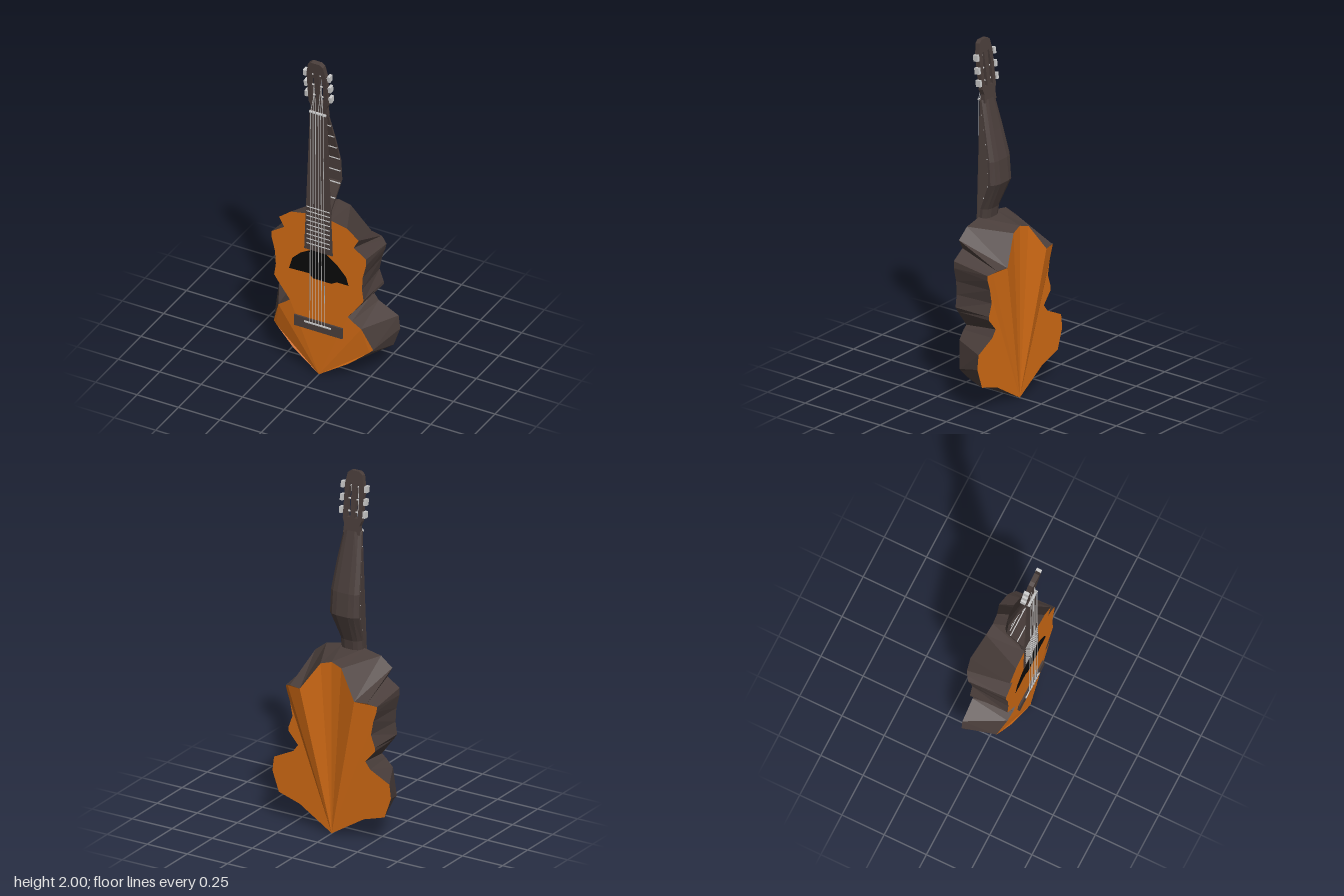
import * as THREE from 'three';

const mat = (color) => new THREE.MeshStandardMaterial({ color, flatShading: true, side: THREE.DoubleSide });

// Right half outlines from top centre to bottom centre: [x, y, z]
const FZ = 0.115, BZ = -0.107;
const front = [[0, 1, FZ], [0.07, 1, FZ], [0.17, 0.98, FZ], [0.24, 0.925, FZ], [0.21, 0.87, FZ], [0.285, 0.82, FZ],
  [0.285, 0.78, FZ], [0.265, 0.7, FZ], [0.26, 0.62, FZ], [0.27, 0.55, FZ], [0.25, 0.52, FZ], [0.175, 0.42, FZ],
  [0.2, 0.4, FZ], [0.25, 0.36, 0.105], [0.3, 0.22, 0.065], [0.28, 0.2, 0.07], [0.17, 0.11, 0.095], [0, 0, FZ]];
const back = [[0, 0.985, BZ], [0.065, 0.965, -0.115], [0.17, 0.81, -0.155], [0.24, 0.81, -0.14], [0.262, 0.8, -0.127],
  [0.285, 0.79, -0.11], [0.28, 0.76, BZ], [0.26, 0.7, BZ], [0.245, 0.62, BZ], [0.27, 0.55, BZ], [0.27, 0.53, BZ],
  [0.21, 0.46, BZ], [0.24, 0.42, BZ], [0.36, 0.36, BZ], [0.37, 0.28, BZ], [0.33, 0.165, BZ], [0.2, 0.125, BZ], [0, 0, BZ]];

// Builds triangles and their mirror image across x = 0
function mirrored(tris) {
  const pos = [];
  for (const [a, b, c] of tris) {
    pos.push(...a, ...b, ...c);
    for (const p of [a, c, b]) pos.push(-p[0], p[1], p[2]);
  }
  const g = new THREE.BufferGeometry();
  g.setAttribute('position', new THREE.Float32BufferAttribute(pos, 3));
  g.computeVertexNormals();
  return g;
}

function panel(outline, facing) {
  const flat = outline.map(([x, y]) => new THREE.Vector2(x, y));
  const tris = THREE.ShapeUtils.triangulateShape(flat, []).map((t) => {
    const [a, b, c] = t.map((i) => outline[i]);
    const cross = (b[0] - a[0]) * (c[1] - a[1]) - (b[1] - a[1]) * (c[0] - a[0]);
    return cross * facing > 0 ? [a, b, c] : [a, c, b];
  });
  return mirrored(tris);
}

function sides() {
  const tris = [];
  for (let i = 0; i < front.length - 1; i++) {
    tris.push([front[i], front[i + 1], back[i]], [front[i + 1], back[i + 1], back[i]]);
  }
  return mirrored(tris);
}

const shapeOf = (pts) => new THREE.Shape(pts.map(([x, y]) => new THREE.Vector2(x, y)));
const slab = (shape, depth) => new THREE.ExtrudeGeometry(shape, { depth, bevelEnabled: false });

// Bowed neck sections: [y, half width, front z, back z]
const neckSections = [[0.97, 0.065, 0.115, 0.07], [1.05, 0.066, 0.105, 0.06], [1.21, 0.09, 0.035, -0.007],
  [1.34, 0.088, 0.04, 0.005], [1.5, 0.074, 0.075, 0.044], [1.67, 0.055, 0.118, 0.085]];

function neckGeometry() {
  const rings = neckSections.map(([y, w, f, b]) => {
    const m = f - (f - b) * 0.35;
    return [[0, f], [1, f], [1, m], [0.75, b + (f - b) * 0.2], [0.4, b], [0, b]].map(([x, z]) => [x * w, y, z]);
  });
  const tris = [];
  for (let r = 0; r < rings.length - 1; r++) {
    for (let i = 0; i < 5; i++) {
      const [a, b, c, d] = [rings[r][i], rings[r][i + 1], rings[r + 1][i + 1], rings[r + 1][i]];
      tris.push([a, b, c], [a, c, d]);
    }
  }
  return mirrored(tris);
}

function rod(a, b, radius) {
  const from = new THREE.Vector3(...a), to = new THREE.Vector3(...b);
  const g = new THREE.CylinderGeometry(radius, radius, from.distanceTo(to), 5);
  g.applyQuaternion(new THREE.Quaternion().setFromUnitVectors(new THREE.Vector3(0, 1, 0), to.clone().sub(from).normalize()));
  const mid = from.add(to).multiplyScalar(0.5);
  return g.translate(mid.x, mid.y, mid.z);
}

export function createModel() {
  const group = new THREE.Group();
  const orange = mat(0xd06a14), brown = mat(0x4a3e3b), black = mat(0x0a0a0a), grey = mat(0xcccccc);
  const add = (name, geometry, material, parent = group) => {
    const mesh = new THREE.Mesh(geometry, material);
    mesh.name = name;
    parent.add(mesh);
    return mesh;
  };
  const box = (name, w, h, d, x, y, z, material, parent) =>
    add(name, new THREE.BoxGeometry(w, h, d).translate(x, y, z), material, parent);

  // Body
  add('frontPanel', panel(front, 1), orange);
  add('backPanel', panel(back, -1), orange);
  add('bodySides', sides(), brown);
  const hole = shapeOf([[-0.18, 0.62], [-0.06, 0.625], [-0.035, 0.6], [0.075, 0.6], [0.11, 0.62], [0.18, 0.62],
    [0.165, 0.67], [0.11, 0.73], [0.04, 0.78], [-0.04, 0.78], [-0.11, 0.74], [-0.16, 0.69]]);
  add('soundHole', new THREE.ShapeGeometry(hole).translate(0, 0, 0.1165), black);

  // Bridge
  box('bridge', 0.29, 0.065, 0.012, 0, 0.307, 0.119, brown);
  box('saddle', 0.16, 0.008, 0.008, 0, 0.32, 0.127, grey);

  // Neck and straight fingerboard
  add('neck', neckGeometry(), brown);
  const board = shapeOf([[-0.085, 0.78], [0.085, 0.78], [0.05, 1.67], [-0.05, 1.67]]);
  add('fingerboard', slab(board, 0.006).translate(0, 0, 0.116), brown);
  for (let i = 0; i < 9; i++) {
    box('fret', 0.14, 0.005, 0.004, 0, 0.82 + i * 0.029, 0.1225, grey);
  }
  // Frets on the bowed neck
  for (let i = 0; i < 7; i++) {
    const y = 1.12 + i * 0.078;
    const k = neckSections.findIndex((s) => s[0] > y);
    const [a, b] = [neckSections[k - 1], neckSections[k]];
    const t = (y - a[0]) / (b[0] - a[0]);
    box('neckFret', 2 * THREE.MathUtils.lerp(a[1], b[1], t), 0.005, 0.006, 0, y,
      THREE.MathUtils.lerp(a[2], b[2], t) + 0.001, grey);
  }

  // Headstock, tilted forward
  const head = new THREE.Group();
  head.name = 'headstock';
  head.position.set(0, 1.65, 0.1);
  head.rotation.x = 0.12;
  group.add(head);
  const outline = shapeOf([[-0.05, 0], [0.05, 0], [0.047, 0.05], [0.058, 0.08], [0.058, 0.27], [0.045, 0.335],
    [0.025, 0.35], [-0.025, 0.35], [-0.045, 0.335], [-0.058, 0.27], [-0.058, 0.08], [-0.047, 0.05]]);
  for (const s of [-1, 1]) {
    outline.holes.push(new THREE.Path([[0.012, 0.09], [0.034, 0.09], [0.036, 0.2], [0.028, 0.28], [0.016, 0.28]]
      .map(([x, y]) => new THREE.Vector2(s * x, y))));
  }
  add('headPlate', slab(outline, 0.028).translate(0, 0, -0.014), brown, head);
  for (const s of [-1, 1]) {
    for (const y of [0.12, 0.19, 0.262]) {
      add('tuningPost', rod([s * 0.008, y, 0], [s * 0.068, y, 0], 0.005), grey, head);
      box('tuningPeg', 0.016, 0.036, 0.03, s * 0.073, y, -0.004, grey, head);
    }
  }
  box('nut', 0.1, 0.008, 0.02, 0, 1.665, 0.125, grey);

  // Strings
  for (let i = 0; i < 6; i++) {
    const u = i / 2.5 - 1;
    add('string', rod([u * 0.045, 0.32, 0.132], [u * 0.038, 1.665, 0.138], 0.0018), grey);
    add('stringEnd', rod([u * 0.038, 1.665, 0.138], [Math.sign(u) * 0.024, 1.77 + 0.07 * (i < 3 ? i : 5 - i), 0.125], 0.0018), grey);
  }
  return group;
}
